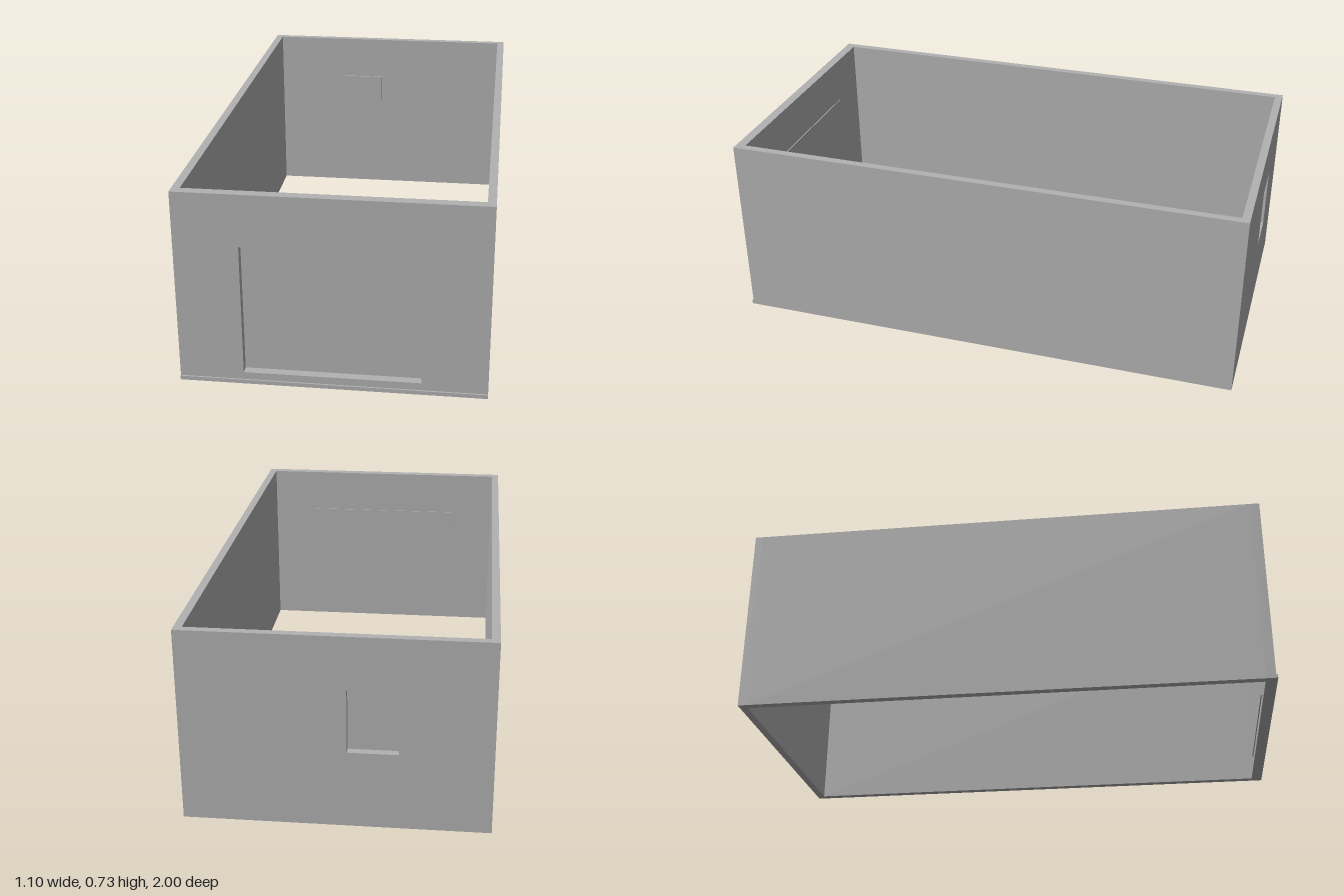
import * as THREE from 'three';

const W = 0.552, H = 0.733, T = 0.03;      // half width, height, wall thickness
const BACK = -1, FRONT = 0.994;            // outer faces of the end walls

export function createModel() {
  const model = new THREE.Group();
  model.name = 'garageShell';
  const grey = new THREE.MeshStandardMaterial({ color: 0xb2b2b2 });
  grey.name = 'wallGrey';

  const add = (name, geometry) => {
    const mesh = new THREE.Mesh(geometry, grey);
    mesh.name = name;
    model.add(mesh);
  };

  // Box given by its limits
  const box = (name, x0, x1, y0, y1, z0, z1) => {
    const g = new THREE.BoxGeometry(x1 - x0, y1 - y0, z1 - z0);
    g.translate((x0 + x1) / 2, (y0 + y1) / 2, (z0 + z1) / 2);
    add(name, g);
  };

  const rect = (path, x0, x1, y0, y1) =>
    path.moveTo(x0, y0).lineTo(x1, y0).lineTo(x1, y1).lineTo(x0, y1).closePath();

  // End wall with one rectangular opening
  const endWall = (name, opening, z0, z1) => {
    const shape = rect(new THREE.Shape(), -W, W, 0, H);
    shape.holes.push(rect(new THREE.Path(), ...opening));
    const g = new THREE.ExtrudeGeometry(shape, { depth: z1 - z0, bevelEnabled: false });
    g.translate(0, 0, z0);
    add(name, g);
  };

  const innerFront = 0.957, innerBack = BACK + T;
  endWall('frontWall', [-0.32, 0.317, 0.043, 0.538], innerFront, FRONT);
  endWall('backWall', [-0.221, -0.04, 0.295, 0.533], BACK, innerBack);

  // Long side walls
  box('leftWall', W - T, W, 0, H, innerBack, innerFront);
  box('rightWall', -W, -W + T, 0, H, innerBack, innerFront);

  // Panels closing the openings, standing slightly proud inside
  box('garageDoor', -0.33, 0.327, 0.03, 0.55, 0.953, 0.961);
  box('windowPane', -0.236, -0.034, 0.282, 0.547, -0.971, -0.964);

  // Low strip along the foot of the front wall
  box('frontThreshold', -W, W, 0, 0.015, FRONT, 1);

  return model;
}
